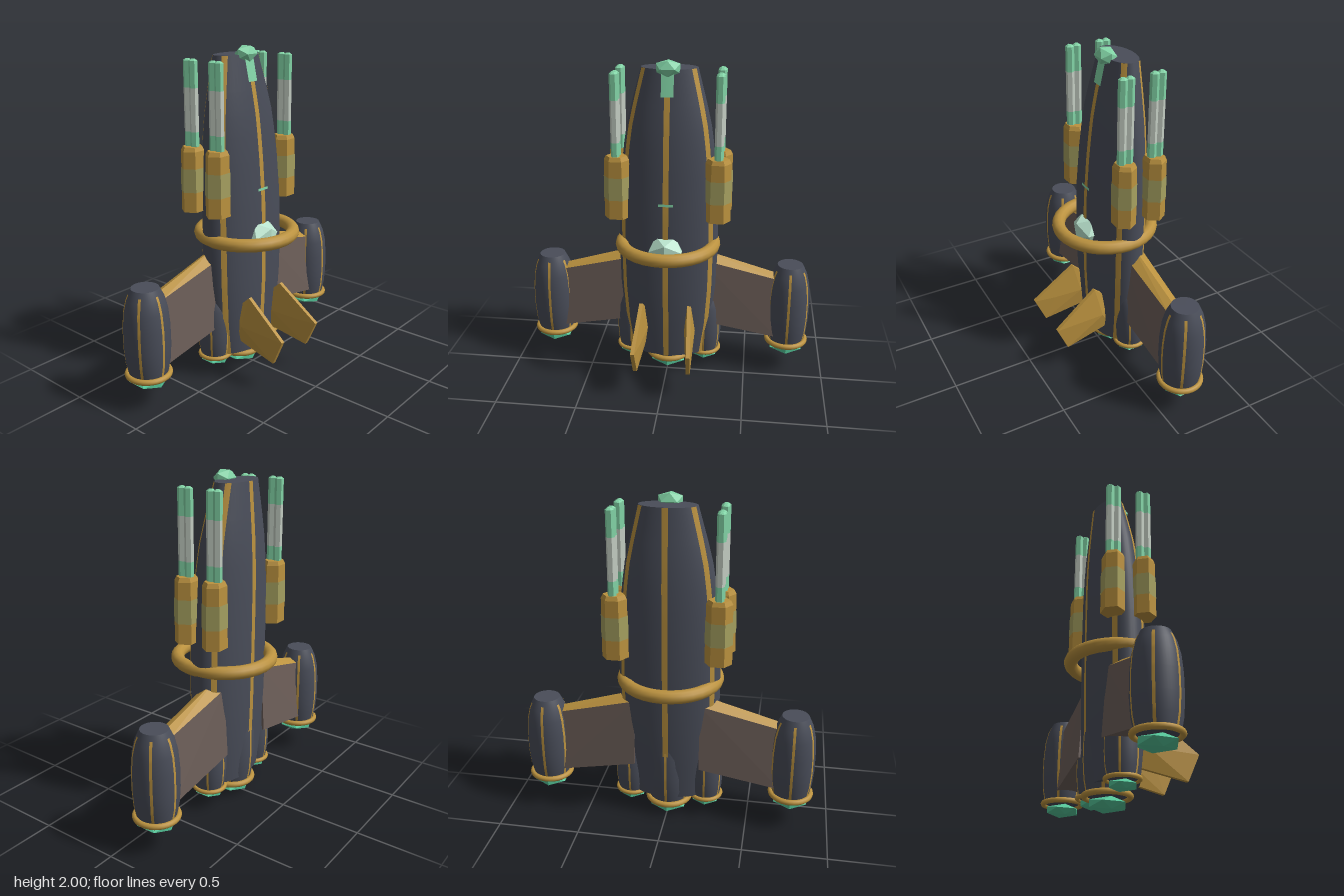
import * as THREE from 'three';
import { mergeGeometries } from 'three/addons/utils/BufferGeometryUtils.js';
import { ConvexGeometry } from 'three/addons/geometries/ConvexGeometry.js';

const paint = (name, color) => {
  const m = new THREE.MeshStandardMaterial({ color });
  m.name = name;
  return m;
};

export function createModel() {
  const model = new THREE.Group();
  model.name = 'starfighter';
  const slate = paint('slate hull', 0x494d59);
  const gold = paint('gold trim', 0xbb923f);
  const brown = paint('brown wing', 0x6d5f59);
  const green = paint('green crystal', 0x82d4a6);
  const glow = paint('engine glow', 0x55c79a);
  const mint = paint('pale mint glass', 0xbce6d0);
  const steel = paint('pale steel', 0xc3cdc2);
  const olive = paint('olive panel', 0xa5a060);

  const add = (name, geo, mat, x = 0, y = 0, z = 0) => {
    const m = new THREE.Mesh(geo, mat);
    m.name = name;
    m.position.set(x, y, z);
    model.add(m);
    return m;
  };
  const faceted = (geo) => {
    const g = geo.toNonIndexed();
    g.computeVertexNormals();
    return g;
  };
  // value of column k of a profile at height y
  const sample = (rows, y, k) => {
    let i = 0;
    while (i < rows.length - 2 && y > rows[i + 1][0]) i++;
    const [a, b] = [rows[i], rows[i + 1]];
    return a[k] + (b[k] - a[k]) * (y - a[0]) / (b[0] - a[0]);
  };

  // Turned body with an elliptical section; profile rows are [y, radius, centre z]
  const bodyGeometry = (rows, depth) => {
    const v = (r, y) => new THREE.Vector2(r, y);
    const first = rows[0], last = rows[rows.length - 1];
    const lathes = [
      rows.map(([y, r]) => v(r, y)),
      [v(0, first[0]), v(first[1], first[0])],
      [v(last[1], last[0]), v(0, last[0])],
    ].map((pts) => new THREE.LatheGeometry(pts, 48));
    const geo = mergeGeometries(lathes);
    geo.scale(1, 1, depth);
    const p = geo.attributes.position;
    for (let i = 0; i < p.count; i++) p.setZ(i, p.getZ(i) + sample(rows, p.getY(i), 2));
    return geo;
  };
  // Thin strip lying on such a body, at an angle measured from the front
  const stripGeometry = (rows, depth, angle, width, y0, y1, lift = 0.004) => {
    const geo = new THREE.PlaneGeometry(1, 1, 2, 40);
    const p = geo.attributes.position;
    for (let i = 0; i < p.count; i++) {
      const y = y0 + (p.getY(i) + 0.5) * (y1 - y0);
      const r = sample(rows, y, 1);
      const a = angle + p.getX(i) * width / (r * Math.hypot(Math.cos(angle), depth * Math.sin(angle)));
      p.setXYZ(i, (r + lift) * Math.sin(a), y, (r * depth + lift) * Math.cos(a) + sample(rows, y, 2));
    }
    geo.computeVertexNormals();
    return geo;
  };
  // Faceted crystal with given half extents
  const crystal = (name, mat, pos, half, turned = false) => {
    const geo = new THREE.IcosahedronGeometry(1 / 0.8507, 0);
    if (turned) geo.rotateY(Math.PI / 2);
    geo.scale(...half);
    add(name, geo, mat, ...pos);
  };
  const ring = (name, radius, tube, x, y, z) =>
    add(name, new THREE.TorusGeometry(radius, tube, 12, 32).rotateX(Math.PI / 2), gold, x, y, z);

  // Fuselage
  const hull = [
    [0.13, 0.25, -0.085], [0.35, 0.285, -0.085], [0.6, 0.303, -0.083], [0.85, 0.307, -0.084],
    [1.1, 0.303, -0.088], [1.35, 0.287, -0.097], [1.5, 0.27, -0.103], [1.62, 0.252, -0.108],
    [1.75, 0.221, -0.116], [1.95, 0.167, -0.13],
  ];
  const flat = 0.55;
  add('fuselage', bodyGeometry(hull, flat), slate);
  for (let i = 0; i < 6; i++) {
    add('fuselageStripe', stripGeometry(hull, flat, i * Math.PI / 3, 0.034, 0.13, 1.95), gold);
  }
  add('nosePanel', stripGeometry(hull, flat, 0, 0.07, 1.8, 1.95, 0.009), green);
  add('frontMark', stripGeometry(hull, flat, 0, 0.085, 1.165, 1.18, 0.008), green);
  crystal('noseCrystal', green, [0, 1.955, -0.05], [0.07, 0.045, 0.05], true);
  crystal('canopy', mint, [0, 0.882, 0.06], [0.1, 0.085, 0.085]);
  ring('bodyRing', 0.284, 0.04, 0, 0.885, -0.05);

  // Engines: pod, stripes, nozzle ring and glowing crystal
  const pod = [
    [0, 0.112, 0], [0.08, 0.128, 0], [0.18, 0.135, 0], [0.3, 0.134, 0],
    [0.4, 0.125, 0], [0.47, 0.108, 0], [0.53, 0.08, 0],
  ];
  const engine = (name, x, y, z, s) => {
    const rows = pod.map(([h, r]) => [h * s, r * s, 0]);
    add(name + 'Pod', bodyGeometry(rows, 1), slate, x, y, z);
    for (let i = 0; i < 6; i++) {
      add(name + 'Stripe', stripGeometry(rows, 1, i * Math.PI / 3, 0.016 * s, 0, 0.5 * s, 0.002), gold, x, y, z);
    }
    ring(name + 'Ring', 0.122 * s, 0.017 * s, x, y, z);
    const e = 0.1 * s;
    crystal(name + 'Glow', glow, [x, y - 0.043 * s, z], [e, e * 0.33, e]);
  };
  engine('mainEngine', 0, 0.08, -0.11, 1.06);

  for (const s of [1, -1]) {
    const side = s > 0 ? 'left' : 'right';
    engine(side + 'InnerEngine', s * 0.235, 0.12, -0.11, 0.77);
    engine(side + 'OuterEngine', s * 0.765, 0.2, -0.14, 1);

    // Wing: trapezoid panel with a gold ridge along the leading edge
    const panel = [], ridge = [];
    for (const [x, top, low, t, b] of [[0.2, 0.812, 0.346, 0.064, 0.09], [0.7, 0.667, 0.251, 0.048, 0.08]]) {
      const shoulder = top - (x < 0.5 ? 0.045 : 0.025);
      for (const d of [1, -1]) {
        const edge = new THREE.Vector3(s * x, shoulder, -0.13 + d * t);
        panel.push(edge, new THREE.Vector3(s * x, low, -0.13 + d * b));
        ridge.push(edge.clone());
      }
      ridge.push(new THREE.Vector3(s * x, top, -0.13));
    }
    add(side + 'Wing', new ConvexGeometry(panel), brown);
    add(side + 'WingLeadingEdge', new ConvexGeometry(ridge), gold);

    // Forward fin: outline in [z, y], thinner towards the tip
    const fin = [];
    const outline = [[0.0, 0.43], [0.105, 0.525], [0.375, 0.32], [0.305, 0.16], [0.0, 0.22]];
    for (const [z, y] of outline) {
      const half = 0.012, mid = 0.142 + 0.07 * z;
      for (const d of [1, -1]) fin.push(new THREE.Vector3(s * (mid + d * half), y, z));
    }
    for (const d of [1, -1]) {
      fin.push(new THREE.Vector3(s * (0.15 + d * 0.034), 0.33, 0.06));
      fin.push(new THREE.Vector3(s * (0.158 + d * 0.022), 0.32, 0.24));
    }
    add(side + 'Fin', new ConvexGeometry(fin), gold);

    // Twin-barrelled cannons
    for (const z of [-0.006, -0.2]) {
      const hex = (rTop, rLow, y0, y1, sx, open = false) => {
        const geo = new THREE.CylinderGeometry(rTop, rLow, y1 - y0, 6, 1, open).rotateY(Math.PI / 2);
        return faceted(geo.scale(sx, 1, 1).translate(0, (y0 + y1) / 2, 0));
      };
      add(side + 'CannonHousing', hex(0.066, 0.07, 1.06, 1.42, 1.15), gold, s * 0.302, 0, z);
      add(side + 'CannonCap', hex(0.055, 0.066, 1.42, 1.445, 1.15), gold, s * 0.302, 0, z);
      add(side + 'CannonPanel', hex(0.0695, 0.071, 1.18, 1.32, 1.15, true), olive, s * 0.302, 0, z);
      for (const d of [-0.022, 0.022]) {
        add(side + 'BarrelBase', hex(0.026, 0.026, 1.43, 1.53, 1), green, s * 0.304, 0, z + d);
        add(side + 'BarrelMiddle', hex(0.026, 0.026, 1.53, 1.78, 1), steel, s * 0.304, 0, z + d);
        add(side + 'BarrelTip', hex(0.026, 0.026, 1.78, 1.93, 1), green, s * 0.304, 0, z + d);
        add(side + 'BarrelPoint', hex(0.012, 0.026, 1.93, 1.94, 1), green, s * 0.304, 0, z + d);
      }
    }
  }
  return model;
}
